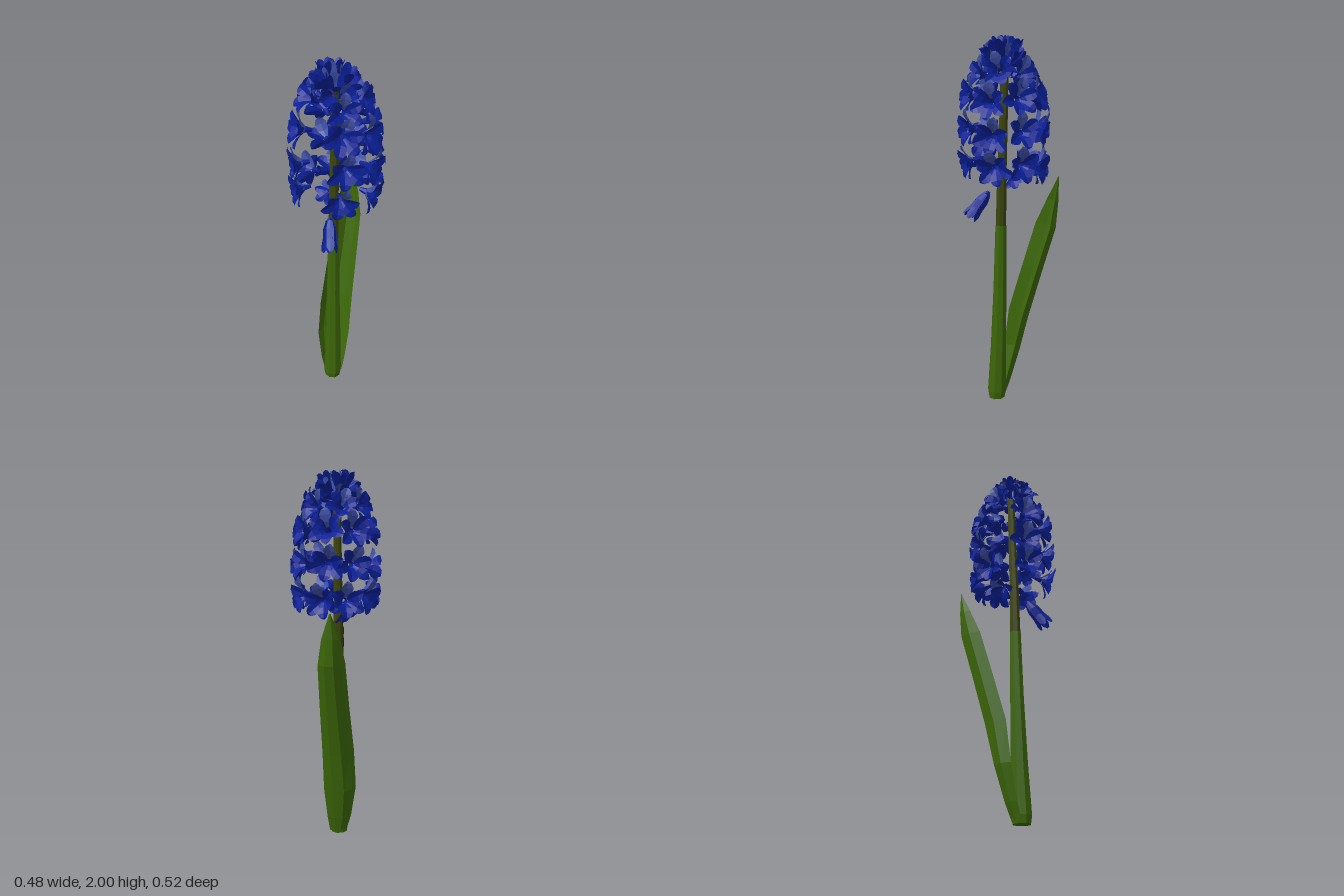
import * as THREE from 'three';
import { mergeGeometries } from 'three/addons/utils/BufferGeometryUtils.js';

function material(name, color, double = true) {
  const m = new THREE.MeshStandardMaterial({ color, flatShading: true });
  m.name = name;
  if (double) m.side = THREE.DoubleSide;
  return m;
}

// Skin a list of cross-sections, each a list of [x, y, z]
function loft(rings, closed = false) {
  const n = rings[0].length;
  const index = [];
  for (let i = 0; i < rings.length - 1; i++) {
    for (let j = 0; j < (closed ? n : n - 1); j++) {
      const a = i * n + j, b = i * n + (j + 1) % n;
      index.push(a, a + n, b, b, a + n, b + n);
    }
  }
  if (closed) {
    const last = (rings.length - 1) * n;
    for (let j = 1; j < n - 1; j++) {
      index.push(0, j, j + 1, last, last + j + 1, last + j);
    }
  }
  const g = new THREE.BufferGeometry();
  g.setAttribute('position', new THREE.Float32BufferAttribute(rings.flat(2), 3));
  g.setIndex(index);
  g.computeVertexNormals();
  return g;
}

// Round stem section: rows are [y, centre x, centre z, radius]
function stemGeometry(rows) {
  return loft(rows.map(([y, cx, cz, r]) => Array.from({ length: 8 }, (_, i) => {
    const a = (i / 8) * Math.PI * 2;
    return [cx + r * Math.cos(a), y, cz + r * Math.sin(a)];
  })), true);
}

// Folded petal: rows are [distance from axis, height, half width]
function petalGeometry(rows, angle) {
  const g = loft(rows.map(([r, h, w]) => [[-w, h + w * 0.3, r], [0, h, r], [w, h + w * 0.3, r]]));
  return g.rotateY(angle);
}

// Six petals and a short throat, growing along +y
function floretParts(rows) {
  const petals = [];
  for (let i = 0; i < 6; i++) {
    const inner = i % 2 ? 0.88 : 1;
    petals.push(petalGeometry(rows.map(([r, h, w]) => [r * inner, h + (i % 2) * 0.008, w]), i * Math.PI / 3));
  }
  const [r, h] = rows[0];
  return {
    dark: mergeGeometries(petals.slice(1)),
    light: petals[0],
    throat: new THREE.CylinderGeometry(r * 1.1, r * 0.6, h + 0.006, 6, 1, true).translate(0, h / 2, 0),
  };
}

export function createModel() {
  const root = new THREE.Group();
  const leafGreen = material('leaf green', 0x3c6708);
  const stemGreen = material('stem green', 0x3c6508, false);
  const olive = material('dark olive', 0x3b440a, false);
  const blue = material('deep blue', 0x0a1f96);
  const paleBlue = material('pale blue', 0x3e4fa4);

  const add = (name, geometry, mat, parent = root) => {
    const mesh = new THREE.Mesh(geometry, mat);
    mesh.name = name;
    parent.add(mesh);
  };

  // Stem, thick at the foot and darker among the flowers
  add('lowerStem', stemGeometry([
    [0, 0.003, 0.067, 0.046], [0.04, 0.003, 0.066, 0.053], [0.3, 0.003, 0.056, 0.045],
    [0.65, 0, 0.047, 0.037], [1.01, 0, 0.04, 0.031],
  ]), stemGreen);
  add('upperStem', stemGeometry([
    [1.01, 0, 0.04, 0.029], [1.3, 0, 0.034, 0.026], [1.6, 0, 0.024, 0.023], [1.88, 0, 0.018, 0.022],
  ]), olive);

  // Channelled leaf turned to the left front: y, left x, right x, front z, back z
  const leafRows = [
    [0.01, -0.04, 0.045, 0.08, 0.02], [0.1, -0.068, 0.052, 0.07, -0.01],
    [0.28, -0.1, 0.058, 0.05, -0.06], [0.5, -0.096, 0.05, 0.022, -0.115],
    [0.76, -0.09, 0.04, -0.055, -0.188], [1.01, -0.089, 0.028, -0.13, -0.26],
    [1.15, -0.08, 0.002, -0.195, -0.268], [1.28, -0.05, -0.044, -0.262, -0.266],
  ];
  const section = [[0, 0], [0.03, 0.5], [0.25, 0.93], [0.65, 1], [1, 0.82]];
  add('leaf', loft(leafRows.map(([y, x0, x1, z0, z1]) =>
    section.map(([u, d]) => [x0 + (x1 - x0) * u, y, z0 + (z1 - z0) * d]))), leafGreen);

  // Open florets, short top buds and the long closed bud
  const open = floretParts([
    [0.018, 0.036, 0.012], [0.042, 0.064, 0.031], [0.076, 0.084, 0.035], [0.102, 0.092, 0.022], [0.116, 0.092, 0.004],
  ]);
  const bud = floretParts([
    [0.018, 0.025, 0.012], [0.034, 0.06, 0.027], [0.045, 0.095, 0.029], [0.055, 0.12, 0.018], [0.06, 0.132, 0.003],
  ]);
  const closedBud = floretParts([
    [0.016, 0.008, 0.012], [0.028, 0.05, 0.02], [0.03, 0.1, 0.02], [0.038, 0.14, 0.02], [0.044, 0.168, 0.006],
  ]);

  let seed = 7;
  const jitter = (amount) => {
    seed = (seed * 16807) % 2147483647;
    return (seed / 2147483647 - 0.5) * 2 * amount;
  };

  // Place a floret facing an angle around the stem and an elevation, pale petal upward
  function floret(name, parts, position, degrees, elevation, scale) {
    const a = THREE.MathUtils.degToRad(degrees), e = THREE.MathUtils.degToRad(elevation);
    const g = new THREE.Group();
    g.name = name;
    g.position.set(...position);
    g.rotation.set(Math.PI / 2 - e, a, 0, 'YXZ');
    g.rotateY(Math.PI + jitter(0.5));
    g.scale.setScalar(scale);
    add('petals', parts.dark, blue, g);
    add('palePetal', parts.light, paleBlue, g);
    add('throat', parts.throat, blue, g);
    root.add(g);
  }

  function ring(name, parts, angles, y, radius, elevation, scale) {
    for (const base of angles) {
      const d = base + jitter(4), a = THREE.MathUtils.degToRad(d);
      const p = [0.005 + radius * Math.sin(a), y + jitter(0.022), 0.022 + radius * Math.cos(a)];
      floret(name, parts, p, d, elevation + jitter(14), scale);
    }
  }

  // Rings of florets, leaving gaps to the front and the left
  ring('lowFloret', open, [38, 90, 134, 172, 210, 246, 312], 1.355, 0.135, -6, 0.88);
  ring('middleFloret', open, [38, 86, 136, 182, 222, 308], 1.52, 0.135, 2, 0.9);
  ring('highFloret', open, [36, 84, 132, 178, 224, 310], 1.68, 0.122, 8, 0.9);
  ring('shoulderFloret', open, [42, 95, 150, 205, 255, 314], 1.8, 0.085, 22, 0.82);

  // Crowded buds around the open tip of the stem
  const around = (n, start) => Array.from({ length: n }, (_, i) => start + i * 360 / n);
  ring('outerBud', bud, around(7, 10), 1.862, 0.035, 28, 0.72);
  ring('innerBud', bud, around(6, 30), 1.88, 0.042, 66, 0.74);

  // Drooping floret and hanging bud below the flower head
  floret('droopingFloret', open, [-0.03, 1.3, 0.0], 245, -50, 0.68);
  floret('hangingBud', closedBud, [0.012, 1.19, 0.105], 27, -52, 1);

  return root;
}
